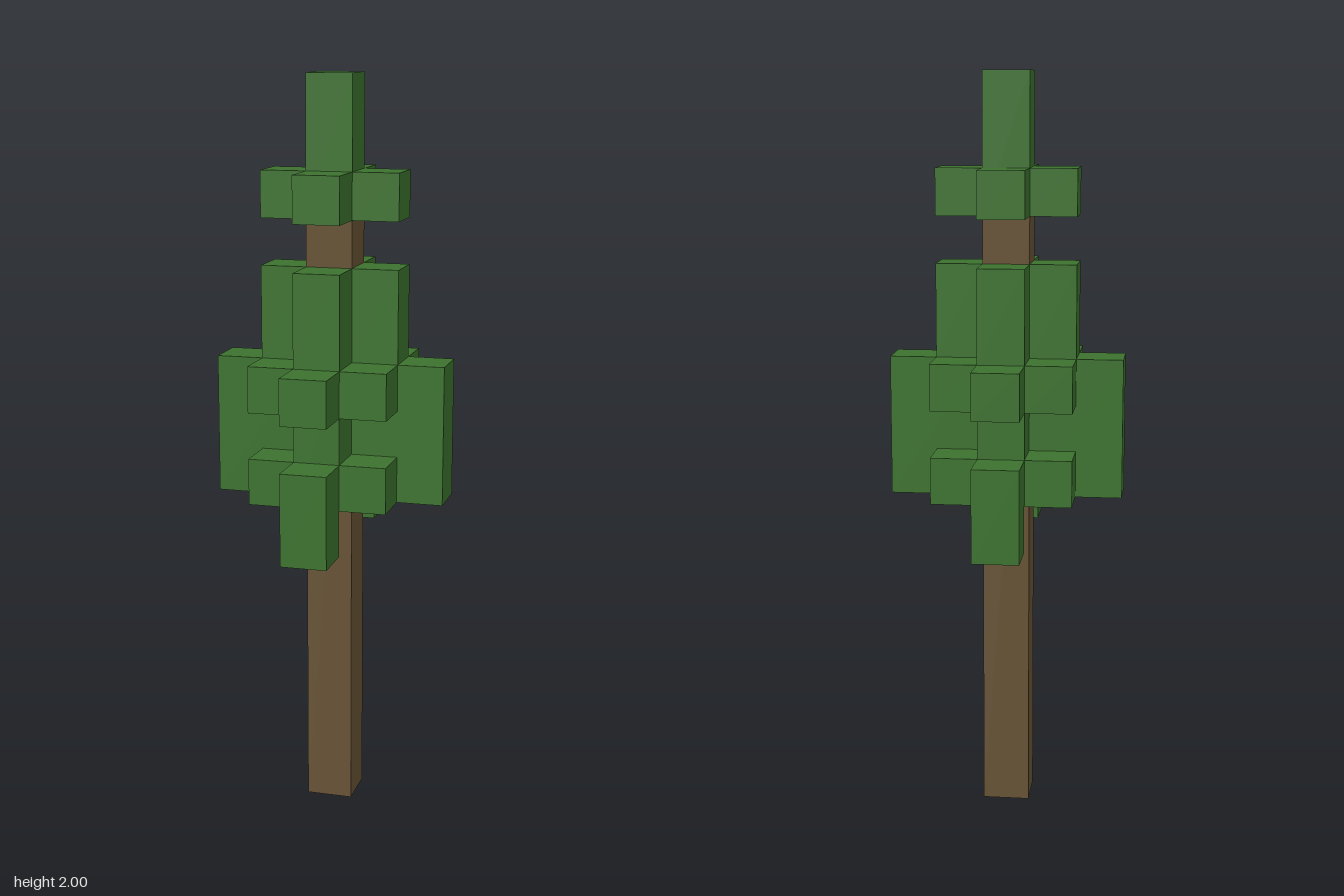
import * as THREE from 'three';

const U = 0.125; // edge of one block

export function createModel() {
  const tree = new THREE.Group();
  tree.name = 'blockPineTree';

  const bark = new THREE.MeshStandardMaterial({ color: 0x675235 });
  bark.name = 'barkBrown';
  const needles = new THREE.MeshStandardMaterial({ color: 0x3c722e });
  needles.name = 'needleGreen';

  // Box of w x h x d blocks, centred on column (x, z), with its base at layer y
  function blocks(parent, name, material, [w, h, d], [x, y, z]) {
    const mesh = new THREE.Mesh(new THREE.BoxGeometry(w * U, h * U, d * U), material);
    mesh.position.set(x * U, (y + h / 2) * U, z * U);
    mesh.name = name;
    parent.add(mesh);
  }

  function tier(name) {
    const group = new THREE.Group();
    group.name = name;
    tree.add(group);
    return group;
  }

  // Trunk, bare below the foliage and in the gap near the top
  blocks(tree, 'trunk', bark, [1, 13, 1], [0, 0, 0]);

  // Tip and the small cross of twigs under it
  const crown = tier('crown');
  blocks(crown, 'tip', needles, [1, 3, 1], [0, 13, 0]);

  const lower = tier('lowerFoliage');
  const upper = tier('upperFoliage');
  for (const s of [-1, 1]) {
    const side = s > 0 ? 'left' : 'right';
    const end = s > 0 ? 'front' : 'back';

    blocks(crown, side + 'TopTwig', needles, [1, 1, 1], [s, 13, 0]);
    blocks(crown, end + 'TopTwig', needles, [1, 1, 1], [0, 13, s]);

    // Cross of tall clumps around the trunk
    blocks(upper, side + 'UpperClump', needles, [1, 2, 1], [s, 10, 0]);
    blocks(upper, end + 'UpperClump', needles, [1, 2, 1], [0, 10, s]);

    // Broad side branches, three layers tall
    blocks(lower, side + 'Branch', needles, [2, 3, 1], [s * 1.5, 7, 0]);

    // Front and back branches: inner clump, short upper end, drooping lower end
    blocks(lower, end + 'InnerClump', needles, [1, 3, 1], [0, 7, s]);
    blocks(lower, end + 'UpperBranchEnd', needles, [1, 1, 1], [0, 9, s * 2]);
    blocks(lower, end + 'DroopingBranchEnd', needles, [1, 2, 1], [0, 6, s * 2]);

    // Corner clumps filling out two of the layers
    for (const t of [-1, 1]) {
      for (const y of [7, 9]) {
        blocks(lower, 'cornerClump', needles, [1, 1, 1], [s, y, t]);
      }
    }
  }

  return tree;
}
